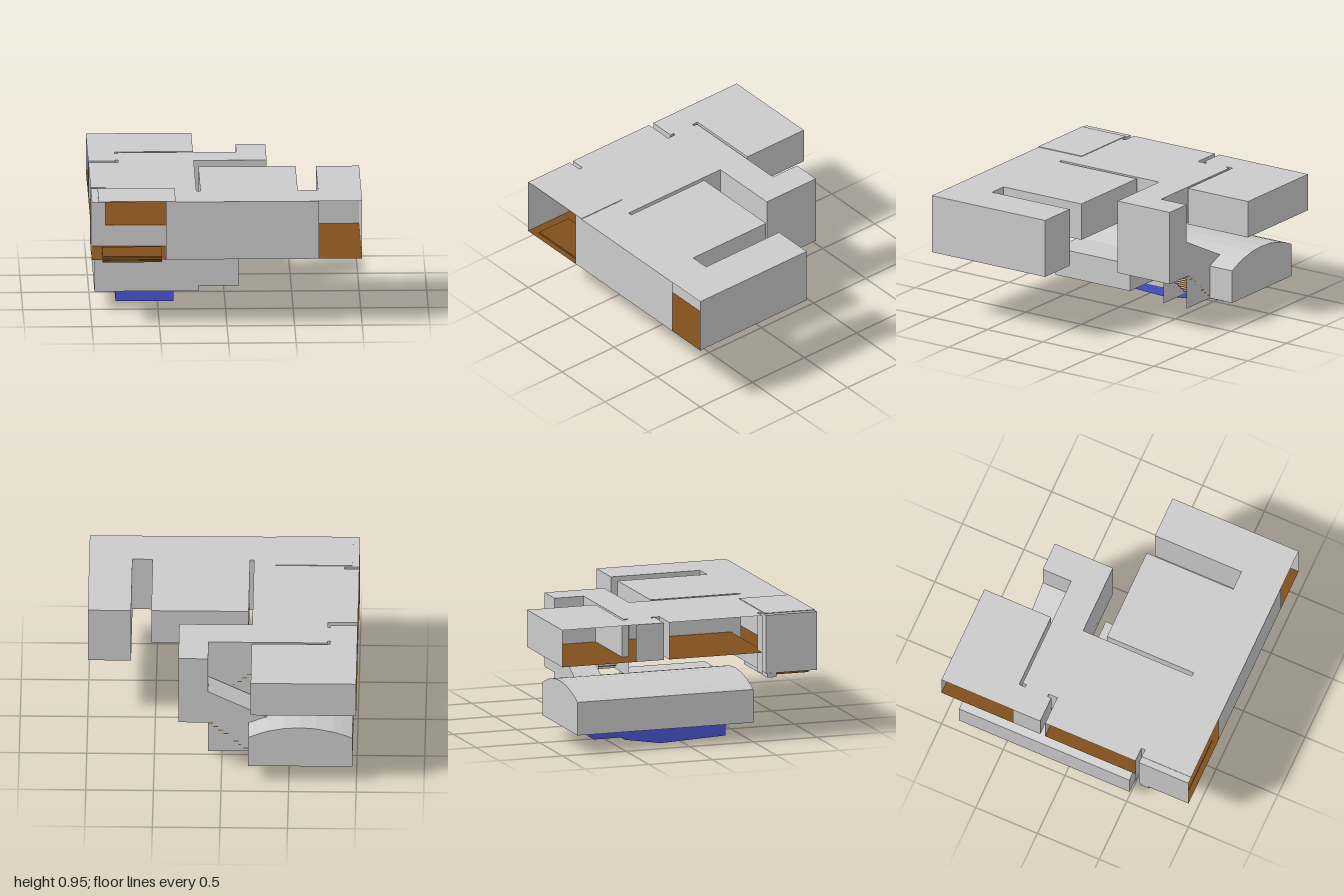
import * as THREE from 'three';

const makeMat = (color) => new THREE.MeshStandardMaterial({ color, side: THREE.DoubleSide, flatShading: true });

export function createModel() {
  const group = new THREE.Group();
  const grey = makeMat(0xcccccc), brown = makeMat(0x80501c), blue = makeMat(0x4a56d6);

  const add = (name, geometry, material = grey) => {
    const mesh = new THREE.Mesh(geometry, material);
    mesh.name = name;
    group.add(mesh);
    return mesh;
  };
  const outline = (pts) => new THREE.Shape(pts.map(([a, b]) => new THREE.Vector2(a, b)));
  // Horizontal sheet from an [x, z] outline
  const sheet = (name, pts, y, material) => {
    const g = new THREE.ShapeGeometry(outline(pts.map(([x, z]) => [x, -z])));
    add(name, g.rotateX(-Math.PI / 2).translate(0, y, 0), material);
  };
  // Vertical sheets along an [x, z] path
  const walls = (name, pts, y0, y1 = 0.95) => {
    const part = new THREE.Group();
    part.name = name;
    for (let i = 0; i + 1 < pts.length; i++) {
      const [ax, az] = pts[i], [bx, bz] = pts[i + 1];
      const g = new THREE.PlaneGeometry(Math.hypot(bx - ax, bz - az), y1 - y0);
      g.rotateY(-Math.atan2(bz - az, bx - ax));
      g.translate((ax + bx) / 2, (y0 + y1) / 2, (az + bz) / 2);
      part.add(new THREE.Mesh(g, grey));
    }
    group.add(part);
  };
  const box = (name, x0, x1, y0, y1, z0, z1, material) =>
    add(name, new THREE.BoxGeometry(x1 - x0, y1 - y0, z1 - z0)
      .translate((x0 + x1) / 2, (y0 + y1) / 2, (z0 + z1) / 2), material);
  const rect = (x0, x1, z0, z1) => [[x0, z0], [x1, z0], [x1, z1], [x0, z1]];

  // Flat roof with narrow slots between the rooms
  sheet('roof', [
    [-1, -1], [-0.22, -1], [-0.22, -0.46], [-0.78, -0.46], [-0.8, -0.46], [-0.8, -0.41], [-0.78, -0.41], [-0.78, -0.44],
    [0.1, -0.44], [0.1, -0.67], [0.32, -0.67], [0.32, -0.2], [-0.22, -0.2], [-0.22, 0.68], [-0.19, 0.68],
    [-0.19, -0.02], [0.53, -0.02], [0.53, 0.68], [0.68, 0.68], [0.68, -0.02], [1, -0.02], [1, 1], [-1, 1],
    [-1, 0.6], [-0.89, 0.6], [-0.89, 0.57], [-1, 0.57], [-1, -0.16], [-0.78, -0.16], [-0.78, -0.23],
    [-0.8, -0.23], [-0.8, -0.2], [-1, -0.2],
  ], 0.95);
  box('terraceCanopy', -0.95, -0.38, 0.95, 0.955, 0.61, 1);

  // Upper floors
  sheet('leftWingFloor', [
    [-1, -1], [-0.22, -1], [-0.22, -0.46], [-0.8, -0.46], [-0.8, -0.44], [-0.22, -0.44], [-0.22, 0.6],
    [-0.89, 0.6], [-0.89, 0.57], [-1, 0.57], [-1, -0.16], [-0.78, -0.16], [-0.78, -0.2], [-1, -0.2],
  ], 0.67, brown);
  sheet('centreRoomFloor', rect(-0.19, 0.53, -0.02, 0.68), 0.67, brown);
  sheet('galleryFloor', [
    [-1, 0.6], [-0.22, 0.6], [-0.22, 0.68], [0.68, 0.68], [0.68, -0.02], [1, -0.02], [1, 1], [-1, 1],
  ], 0.51, brown);

  // Upper walls, left open where rooms look outside
  walls('backRoomWalls', [[-1, -1], [-0.22, -1], [-0.22, -0.46], [-0.8, -0.46], [-0.8, -0.41], [-0.78, -0.41], [-0.78, -0.44], [-0.22, -0.44]], 0.67);
  walls('sidePassageWalls', [[-1, -0.42], [-1, -0.2], [-0.8, -0.2], [-0.8, -0.23], [-0.78, -0.23], [-0.78, -0.16], [-1, -0.16]], 0.67);
  walls('leftWingInnerWall', [[-0.22, -0.2], [-0.22, 0.68]], 0.67);
  walls('centreRoomWalls', [[-0.19, 0.68], [-0.19, -0.02], [0.53, -0.02], [0.53, 0.68]], 0.67);
  walls('corridorWalls', [[0.53, 0.68], [0.68, 0.68], [0.68, -0.02], [1, -0.02], [1, 1]], 0.51);
  walls('frontWall', [[-0.45, 1], [0.68, 1]], 0.51);
  walls('terraceSideWall', [[-1, 1], [-1, 0.6], [-0.89, 0.6], [-0.89, 0.57], [-1, 0.57]], 0.51);
  walls('floorRiser', [[-0.89, 0.6], [-0.22, 0.6], [-0.22, 0.68], [0.53, 0.68]], 0.51, 0.67);
  walls('slotEnd', [[-0.22, 0.68], [-0.19, 0.68]], 0.51);

  // Sunken plank deck under the terrace
  for (let i = 0; i < 3; i++) {
    box('deckPlank', -0.92, -0.48, 0.48 + i * 0.016, 0.493 + i * 0.016, 0.68, 0.96, brown);
  }
  box('deckCore', -0.91, -0.49, 0.481, 0.52, 0.69, 0.95, brown);
  box('deckStep', -1, -0.48, 0.478, 0.509, 0.61, 0.68);

  // Stair tower
  walls('towerWalls', [[0.1, -0.67], [0.32, -0.67], [0.32, -0.2], [-0.22, -0.2]], 0.39);
  walls('towerInnerWall', [[-0.22, -0.44], [0.1, -0.44]], 0.39);
  walls('towerHeadWall', [[0.1, -0.44], [0.1, -0.67]], 0.66);
  sheet('towerLanding', rect(0.1, 0.32, -0.67, -0.2), 0.39, brown);

  // Two flights of brown treads and grey risers
  const flight = (name, x0, x1, y0, y1, z0, z1, count) => {
    const dx = (x1 - x0) / count, dy = (y1 - y0) / count;
    for (let i = 0; i < count; i++) {
      const x = x0 + i * dx, y = y0 + (i + 1) * dy;
      box(name + 'Tread', Math.min(x, x + dx), Math.max(x, x + dx), y - 0.008, y, z0, z1, brown);
      walls(name + 'Riser', [[x, z0], [x, z1]], y - dy, y - 0.008);
    }
  };
  flight('lowerStair', -0.2, 0.1, 0.14, 0.39, -0.67, -0.46, 8);
  flight('upperStair', 0.1, -0.22, 0.39, 0.67, -0.44, -0.2, 9);

  // Stairwell sides and sloping ceiling
  const side = [[0.1, 0.14], [0.1, 0.66], [-0.36, 0.43], [-0.36, 0.14]];
  for (const z of [-0.67, -0.46]) {
    add('stairSide', new THREE.ShapeGeometry(outline(side)).translate(0, 0, z));
  }
  const ceiling = new THREE.PlaneGeometry(Math.hypot(0.46, 0.23), 0.21).rotateX(-Math.PI / 2);
  ceiling.rotateZ(Math.atan2(0.23, 0.46)).translate(-0.13, 0.545, -0.565);
  add('stairCeiling', ceiling);

  // Vaulted pool hall
  const hall = outline([
    [-0.97, 0.14], [-0.2, 0.14], [-0.2, 0.39], [-0.27, 0.42], [-0.34, 0.445], [-0.46, 0.47], [-0.58, 0.478],
    [-0.7, 0.47], [-0.83, 0.443], [-0.9, 0.42], [-0.97, 0.39],
  ]);
  add('poolHall', new THREE.ExtrudeGeometry(hall, { depth: 1.38, bevelEnabled: false }).translate(0, 0, -0.87));

  // Side room beside the hall
  walls('sideRoomWalls', [[-0.2, -0.16], [0.1, -0.16], [0.1, 0.51], [-0.2, 0.51]], 0.18, 0.39);
  sheet('sideRoomRoof', rect(-0.2, 0.1, -0.16, 0.51), 0.39);
  sheet('sideRoomFloor', rect(-0.2, 0.1, -0.16, 0.51), 0.18, brown);

  // Pool basin: depth profile in [z, y] swept across its width
  const basin = outline([
    [0.35, 0.139], [0.35, 0.022], [-0.16, 0], [-0.44, 0.045], [-0.46, 0.065], [-0.68, 0.065], [-0.71, 0.08], [-0.71, 0.139],
  ]);
  const pool = new THREE.ExtrudeGeometry(basin, { depth: 0.43, bevelEnabled: false });
  add('poolBasin', pool.rotateY(-Math.PI / 2).translate(-0.38, 0, 0), blue);

  return group;
}
